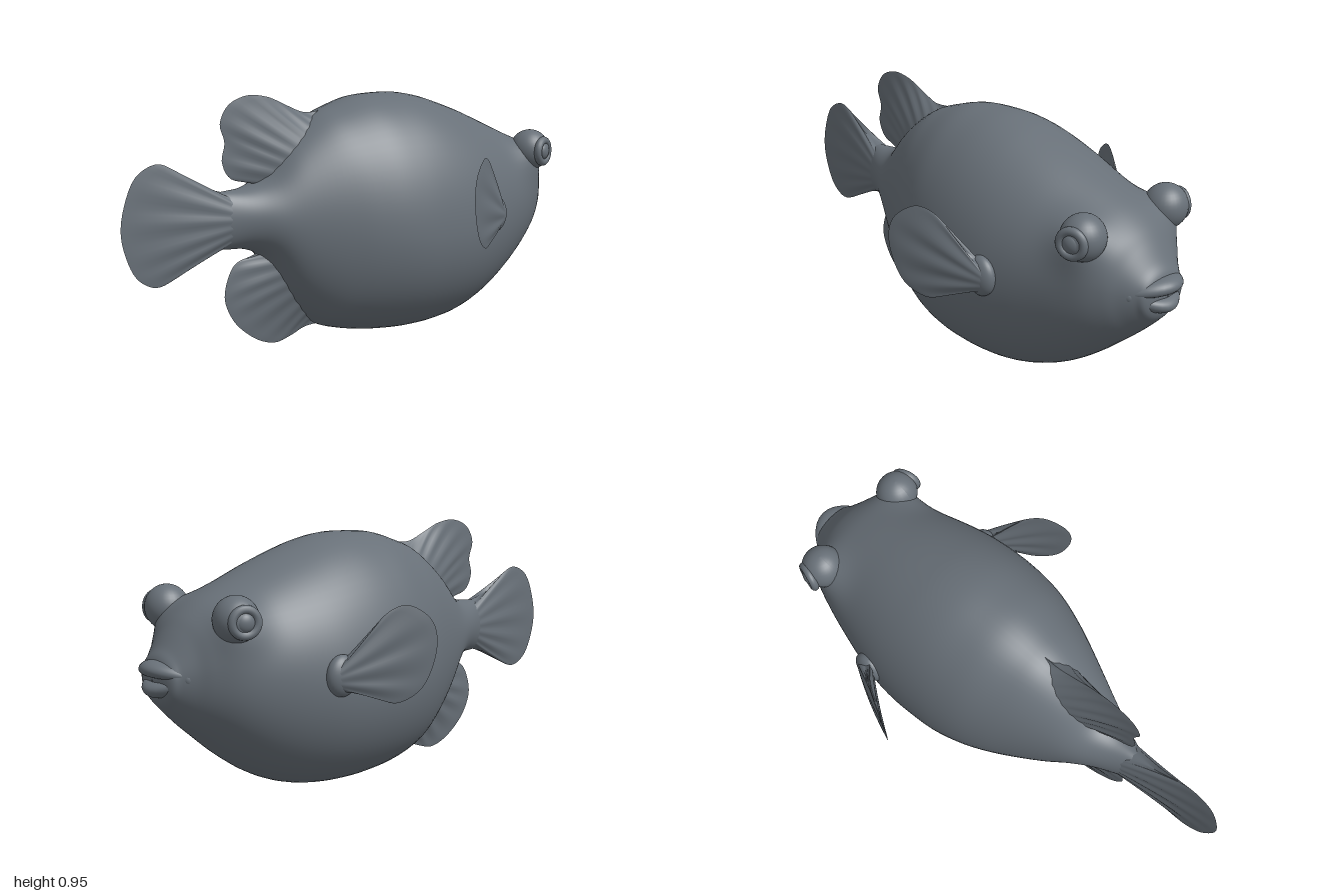
import * as THREE from 'three';

const skin = new THREE.MeshStandardMaterial({ color: 0x687078, side: THREE.DoubleSide });
skin.name = 'slate skin';

// Closed-ring surface: point(u, a) gives a position, u along, a around (0..1)
function loft(rows, cols, point) {
  const pos = [], idx = [];
  for (let i = 0; i <= rows; i++) {
    for (let j = 0; j < cols; j++) pos.push(...point(i / rows, j / cols));
  }
  for (let i = 0; i < rows; i++) {
    for (let j = 0; j < cols; j++) {
      const k = (j + 1) % cols, a = i * cols + j, b = i * cols + k;
      idx.push(a, b, a + cols, b, b + cols, a + cols);
    }
  }
  const g = new THREE.BufferGeometry();
  g.setAttribute('position', new THREE.Float32BufferAttribute(pos, 3));
  g.setIndex(idx);
  g.computeVertexNormals();
  return g;
}

function add(parent, name, geometry) {
  const m = new THREE.Mesh(geometry, skin);
  m.name = name;
  parent.add(m);
  return m;
}

const curve = (pts) => new THREE.CatmullRomCurve3(
  pts.map(([x, y, z = 0]) => new THREE.Vector3(x, y, z)), false, 'catmullrom', 0.5);

// Fin stretched from a root line to its rim, thick at the root, ribbed by rays
function fin(root, rim, thick, rays, bend = () => 0, normal = [0, 0, 1]) {
  const r = curve(root), e = curve(rim), n = 48;
  return loft(20, n * 2, (u, a) => {
    const front = a < 0.5;
    const v = front ? a * 2 : 2 - a * 2;
    const p = r.getPoint(v).lerp(e.getPoint(v), u);
    const edge = Math.sqrt(Math.max(0, Math.sin(Math.PI * v)));
    const rib = 0.003 * Math.sin(v * rays * Math.PI * 2) * Math.sin(Math.PI * u);
    const h = (thick * (1 - u) ** 1.5 + 0.009 * Math.sqrt(1 - u) + rib) * edge * (front ? 1 : -1);
    return [p.x + normal[0] * h, p.y + normal[1] * h, p.z + bend(p.x) + normal[2] * h];
  });
}

// Ellipsoid with its ends swept back along x
function ellipsoid(rx, ry, rz, sweep = 0, droop = 0) {
  const g = new THREE.SphereGeometry(1, 32, 20);
  const p = g.attributes.position;
  for (let i = 0; i < p.count; i++) {
    const z = p.getZ(i);
    p.setXYZ(i, p.getX(i) * rx - sweep * z * z, p.getY(i) * ry - droop * z * z, z * rz);
  }
  g.computeVertexNormals();
  return g;
}

function buildBody() {
  // x, top, bottom, half width, height of the widest line
  const stations = [
    [-0.76, 0.56, 0.46, 0.002, 0.51], [-0.68, 0.605, 0.42, 0.028, 0.51],
    [-0.6, 0.615, 0.405, 0.055, 0.51], [-0.5, 0.625, 0.395, 0.1, 0.51],
    [-0.42, 0.665, 0.345, 0.142, 0.5], [-0.32, 0.775, 0.185, 0.192, 0.48],
    [-0.2, 0.865, 0.075, 0.253, 0.46], [-0.1, 0.905, 0.038, 0.302, 0.44],
    [0, 0.933, 0.018, 0.34, 0.43], [0.1, 0.941, 0.007, 0.362, 0.42],
    [0.2, 0.94, 0.002, 0.37, 0.42], [0.3, 0.923, 0.006, 0.37, 0.42],
    [0.4, 0.893, 0.02, 0.36, 0.43], [0.5, 0.858, 0.05, 0.337, 0.45],
    [0.6, 0.818, 0.1, 0.308, 0.47], [0.7, 0.775, 0.17, 0.275, 0.49],
    [0.78, 0.735, 0.237, 0.24, 0.51], [0.84, 0.69, 0.288, 0.196, 0.51],
    [0.88, 0.645, 0.325, 0.155, 0.5], [0.92, 0.59, 0.365, 0.118, 0.49],
    [0.95, 0.55, 0.405, 0.09, 0.48], [0.965, 0.483, 0.477, 0.002, 0.48],
  ];
  const outline = curve(stations.map((s) => [s[0], s[1], s[2]]));
  const girth = curve(stations.map((s) => [s[3], s[4]]));
  return loft(110, 72, (u, a) => {
    const o = outline.getPoint(u), g = girth.getPoint(u), t = a * Math.PI * 2;
    const c = Math.cos(t);
    const y = g.y + c * (c > 0 ? o.y - g.y : g.y - o.z);
    const z = Math.sin(t) * Math.max(g.x, 0.001);
    // Raised brows around the eyes
    const side = Math.sign(z);
    const d2 = (o.x - 0.75) ** 2 + (y - 0.67) ** 2 + (Math.abs(z) - 0.21) ** 2;
    const b = Math.exp(-d2 / 0.009);
    return [o.x + 0.025 * b, y + 0.025 * b, z + side * 0.035 * b];
  });
}

export function createModel() {
  const fish = new THREE.Group();
  fish.name = 'fish';
  add(fish, 'body', buildBody());

  // Median fins
  add(fish, 'tailFin', fin(
    [[-0.54, 0.6], [-0.54, 0.51], [-0.54, 0.42]],
    [[-0.6, 0.615], [-0.71, 0.65], [-0.79, 0.71], [-0.86, 0.735], [-0.94, 0.695], [-0.985, 0.6],
      [-1, 0.5], [-0.975, 0.4], [-0.935, 0.335], [-0.87, 0.302], [-0.8, 0.32], [-0.71, 0.37], [-0.6, 0.408]],
    0.06, 9));
  add(fish, 'dorsalFin', fin(
    [[-0.12, 0.86], [-0.28, 0.74], [-0.4, 0.6]],
    [[-0.15, 0.885], [-0.23, 0.882], [-0.31, 0.912], [-0.39, 0.945], [-0.48, 0.955], [-0.56, 0.925],
      [-0.598, 0.86], [-0.58, 0.79], [-0.592, 0.72], [-0.55, 0.655], [-0.43, 0.635]],
    0.07, 9));
  add(fish, 'analFin', fin(
    [[-0.12, 0.12], [-0.28, 0.25], [-0.4, 0.4]],
    [[-0.15, 0.065], [-0.23, 0.06], [-0.3, 0.035], [-0.37, 0.02], [-0.45, 0.045], [-0.53, 0.105],
      [-0.575, 0.17], [-0.59, 0.235], [-0.565, 0.315], [-0.52, 0.355], [-0.42, 0.36]],
    0.07, 9));

  // Lips
  add(fish, 'upperLip', ellipsoid(0.05, 0.03, 0.128, 0.06, 0.02)).position.set(0.95, 0.518, 0);
  add(fish, 'lowerLip', ellipsoid(0.05, 0.03, 0.115, 0.06, -0.03)).position.set(0.943, 0.447, 0);

  // Paired parts, built on the +z side and mirrored
  for (const s of [1, -1]) {
    const side = new THREE.Group();
    side.name = s > 0 ? 'nearSide' : 'farSide';
    side.scale.z = s;
    fish.add(side);

    add(side, 'eyeBulge', ellipsoid(0.08, 0.083, 0.082)).position.set(0.765, 0.69, 0.21);
    const eye = new THREE.Group();
    eye.name = 'eye';
    eye.position.set(0.775, 0.688, 0.275);
    eye.rotation.y = 0.3;
    side.add(eye);
    add(eye, 'eyelid', new THREE.TorusGeometry(0.044, 0.016, 14, 36));
    add(eye, 'eyeball', ellipsoid(0.034, 0.034, 0.022));

    add(side, 'mouthCorner', ellipsoid(0.035, 0.03, 0.022)).position.set(0.88, 0.49, 0.118);
    add(side, 'finSocket', ellipsoid(0.065, 0.075, 0.04)).position.set(0.42, 0.475, 0.35);
    add(side, 'pectoralFin', fin(
      [[0.43, 0.53], [0.45, 0.475], [0.43, 0.42]],
      [[0.39, 0.55], [0.35, 0.61], [0.31, 0.685], [0.24, 0.72], [0.165, 0.67], [0.142, 0.59],
        [0.16, 0.49], [0.2, 0.415], [0.27, 0.375], [0.33, 0.395], [0.39, 0.42]],
      0.022, 6,
      (x) => 0.35 + 0.73 * (0.45 - x) - 0.4 * (0.45 - x) ** 2,
      [0.5, 0, 0.87]));
  }
  return fish;
}
